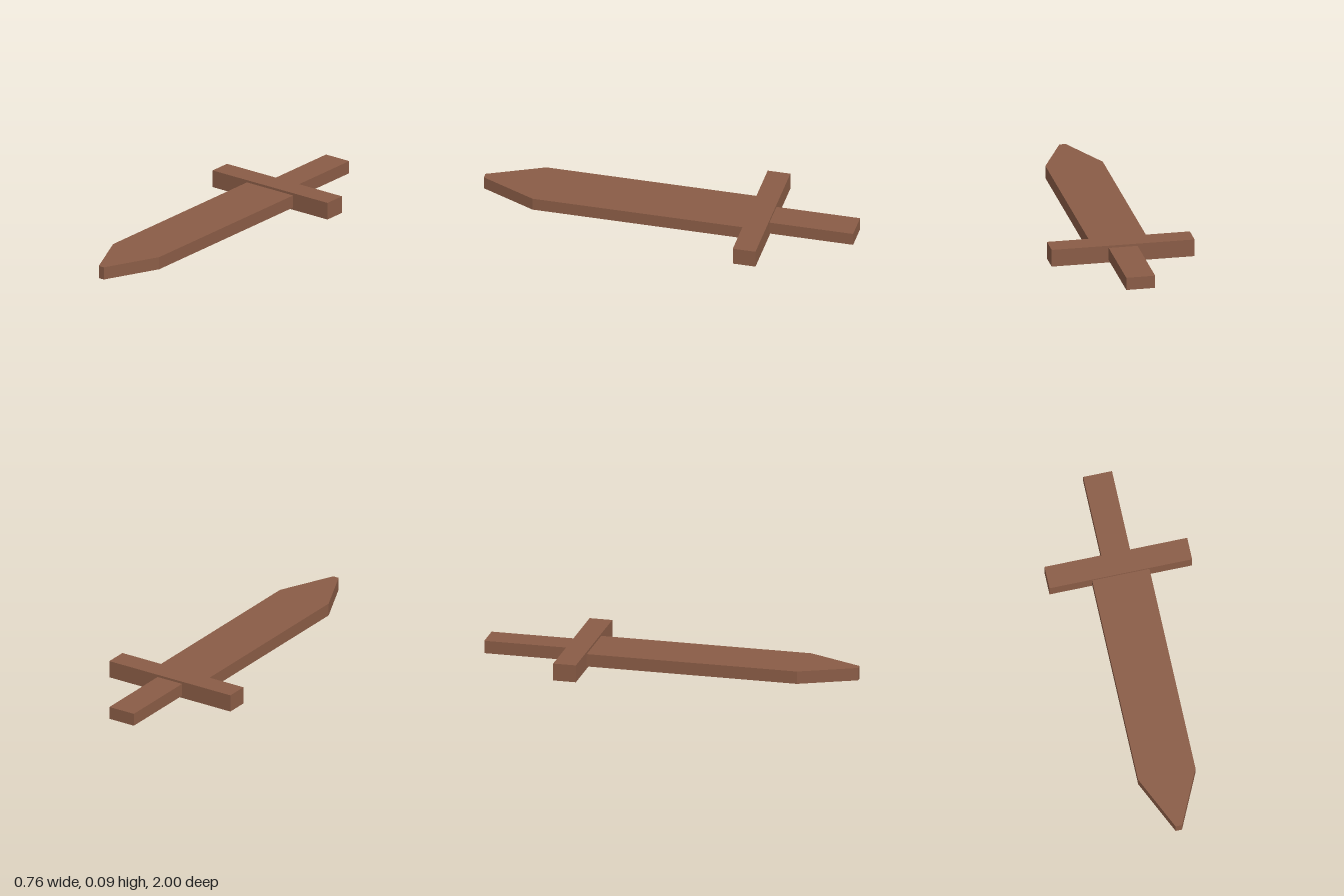
import * as THREE from 'three';

export function createModel() {
  const group = new THREE.Group();
  const wood = new THREE.MeshStandardMaterial({ color: 0x8a5c46 });
  wood.name = 'brownWood';

  const add = (name, geometry, x, y, z) => {
    const mesh = new THREE.Mesh(geometry, wood);
    mesh.name = name;
    mesh.position.set(x, y, z);
    group.add(mesh);
  };

  const thickness = 0.068;
  const middle = 0.0465;

  // Blade: flat plank outline tapering to a blunt tip at +z
  const outline = new THREE.Shape([
    [-0.153, -0.43], [0.153, -0.43], [0.153, 0.705],
    [0.017, 1], [-0.017, 1], [-0.153, 0.705],
  ].map(([x, z]) => new THREE.Vector2(x, z)));
  const blade = new THREE.ExtrudeGeometry(outline, { depth: thickness, bevelEnabled: false });
  blade.rotateX(Math.PI / 2);
  add('blade', blade, 0, middle + thickness / 2, 0);

  // Crossguard: slightly thicker bar
  add('crossguard', new THREE.BoxGeometry(0.762, 0.093, 0.122), 0, middle, -0.489);

  // Handle: plain square-ended grip
  add('handle', new THREE.BoxGeometry(0.154, thickness, 0.45), 0, middle, -0.775);

  return group;
}
